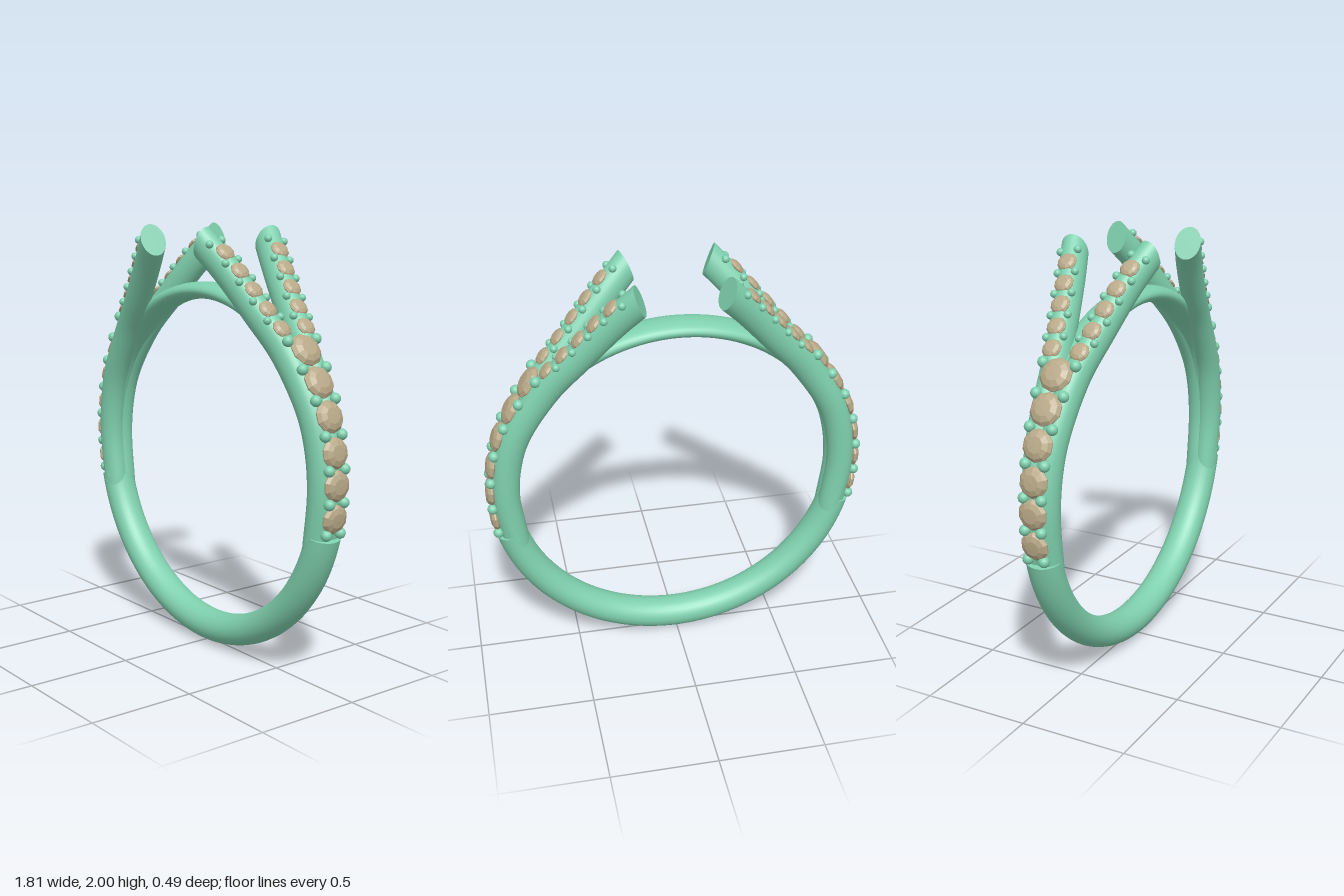
import * as THREE from 'three';

const V = (x, y, z = 0) => new THREE.Vector3(x, y, z);
const metal = new THREE.MeshStandardMaterial({ color: 0x7fd0ae });
const stone = new THREE.MeshStandardMaterial({ color: 0xb8a988, flatShading: true });
const CENTRE_Y = 0.905, INNER_R = 0.755, STEP = 1.318; // STEP: angle from the bottom where the stone channel starts

// Local axes along a path: t forward, n away from the finger, b sideways
function frame(p, tangent) {
  const t = tangent.clone().normalize();
  const n = t.clone().cross(V(0, 0, 1)).normalize();
  return { p, t, n, b: n.clone().cross(t) };
}

// Oval cross-section; shear slants it along the path
function oval(f, h, w, shear = 0, sides = 28) {
  return Array.from({ length: sides }, (_, j) => {
    const a = (j / sides) * Math.PI * 2;
    return f.p.clone().addScaledVector(f.n, h * Math.cos(a))
      .addScaledVector(f.b, w * Math.sin(a))
      .addScaledVector(f.t, shear * Math.cos(a));
  });
}

// Skin a list of cross-sections and close both ends
function loft(rings) {
  const s = rings[0].length, pos = [], idx = [];
  const add = (p) => pos.push(p.x, p.y, p.z) / 3 - 1;
  rings.forEach((r) => r.forEach(add));
  for (let i = 0; i < rings.length - 1; i++) {
    for (let j = 0; j < s; j++) {
      const a = i * s + j, b = i * s + (j + 1) % s;
      idx.push(a, a + s, b, b, a + s, b + s);
    }
  }
  [rings[0], rings[rings.length - 1]].forEach((ring, end) => {
    const mid = ring.reduce((m, p) => m.addScaledVector(p, 1 / s), V(0, 0));
    const c = add(mid), first = c + 1;
    ring.forEach(add);
    for (let j = 0; j < s; j++) {
      const a = first + j, b = first + (j + 1) % s;
      if (end) idx.push(c, b, a); else idx.push(c, a, b);
    }
  });
  const g = new THREE.BufferGeometry();
  g.setAttribute('position', new THREE.Float32BufferAttribute(pos, 3));
  g.setIndex(idx);
  g.computeVertexNormals();
  return g;
}

function mesh(name, geometry, material) {
  const m = new THREE.Mesh(geometry, material);
  m.name = name;
  return m;
}

// Part of the finger ring between two angles measured from the bottom
function band(from, to, thickness, width, n) {
  const rings = [];
  for (let i = 0; i <= n; i++) {
    const a = from + (to - from) * i / n, th = thickness(a), r = INNER_R + th / 2;
    const p = V(Math.sin(a) * r, CENTRE_Y - Math.cos(a) * r);
    rings.push(oval(frame(p, V(Math.cos(a), Math.sin(a))), th / 2, width));
  }
  return loft(rings);
}

// Centre line of one split arm; side = 1 front, -1 back, 0 the middle line
function armCurve(side) {
  return new THREE.CatmullRomCurve3([
    [0.775, 0.62, 0.02], [0.81, 0.905, 0.025], [0.79, 1.1, 0.029], [0.74, 1.25, 0.036],
    [0.597, 1.475, 0.056], [0.45, 1.643, 0.095], [0.30, 1.815, 0.143], [0.19, 1.93, 0.187],
  ].map(([x, y, z]) => V(x, y, z * side)));
}

function arm(curve) {
  const rings = [], n = 48;
  for (let i = 0; i <= n; i++) {
    const u = i / n, f = frame(curve.getPointAt(u), curve.getTangentAt(u));
    const h = THREE.MathUtils.lerp(0.06, 0.07, Math.min(1, u * 1.8));
    rings.push(oval(f, h, 0.06, 0.032 * Math.max(0, (u - 0.9) / 0.1)));
  }
  return loft(rings);
}

// Frame on the outer surface of a curve at a given height
function seat(curve, y, lift) {
  let f;
  for (let u = 0; u <= 1; u += 0.002) {
    f = frame(curve.getPointAt(u), curve.getTangentAt(u));
    f.p.addScaledVector(f.n, lift);
    if (f.p.y >= y) break;
  }
  return f;
}

// Faceted cut stone of unit radius: pavilion, girdle, crown and table
const gemGeo = new THREE.LatheGeometry(
  [[0, -0.6], [0.98, -0.06], [1, 0.04], [0.83, 0.24], [0.5, 0.38], [0, 0.4]].map(([x, y]) => new THREE.Vector2(x, y)), 10);
const beadGeo = new THREE.SphereGeometry(1, 14, 10);

function gem(f, r) {
  const m = mesh('stone', gemGeo, stone);
  m.quaternion.setFromRotationMatrix(new THREE.Matrix4().makeBasis(f.b, f.n, f.t));
  m.position.copy(f.p);
  m.scale.setScalar(r);
  return m;
}

function beadPair(f, spread, r) {
  return [-1, 1].map((s) => {
    const m = mesh('bead', beadGeo, metal);
    m.position.copy(f.p).addScaledVector(f.b, s * spread);
    m.scale.setScalar(r);
    return m;
  });
}

function shoulder() {
  const g = new THREE.Group();
  g.name = 'shoulder';

  // Single row of large stones up the side
  const middle = armCurve(0);
  [[0.785, 0.068], [0.93, 0.07], [1.07, 0.07], [1.22, 0.073], [1.36, 0.076], [1.488, 0.078]]
    .forEach(([y, r]) => g.add(gem(seat(middle, y, 0.068), r)));
  [[0.715, 0.04], [0.855, 0.041], [1.0, 0.044], [1.145, 0.047], [1.29, 0.055], [1.415, 0.067], [1.53, 0.08]]
    .forEach(([y, spread]) => g.add(...beadPair(seat(middle, y, 0.072), spread, 0.025)));

  // Two arms, each with a row of small stones
  for (const side of [1, -1]) {
    const curve = armCurve(side);
    g.add(mesh(side > 0 ? 'frontArm' : 'backArm', arm(curve), metal));
    for (let i = 0; i < 5; i++) g.add(gem(seat(curve, 1.578 + i * 0.079, 0.062), 0.046));
    for (let i = 0; i < 5; i++) g.add(...beadPair(seat(curve, 1.618 + i * 0.079, 0.057), 0.041, 0.018));
  }
  return g;
}

export function createModel() {
  const model = new THREE.Group();
  model.name = 'ring';

  // Thick lower shank, then a thinner band closing over the top
  model.add(mesh('lowerShank', band(-STEP, STEP, (a) => 0.15 - 0.005 * Math.abs(a), 0.082, 72), metal));
  const upper = (a) => {
    const k = Math.min(1, Math.abs(a - Math.PI) / 1.6);
    return 0.08 + 0.038 * k * k * (3 - 2 * k);
  };
  model.add(mesh('upperBand', band(STEP - 0.03, Math.PI * 2 - STEP + 0.03, upper, 0.083, 84), metal));

  // Left shoulder and its half-turn copy on the right
  const left = shoulder();
  left.name = 'leftShoulder';
  const right = shoulder();
  right.name = 'rightShoulder';
  right.rotation.y = Math.PI;
  model.add(left, right);
  return model;
}
